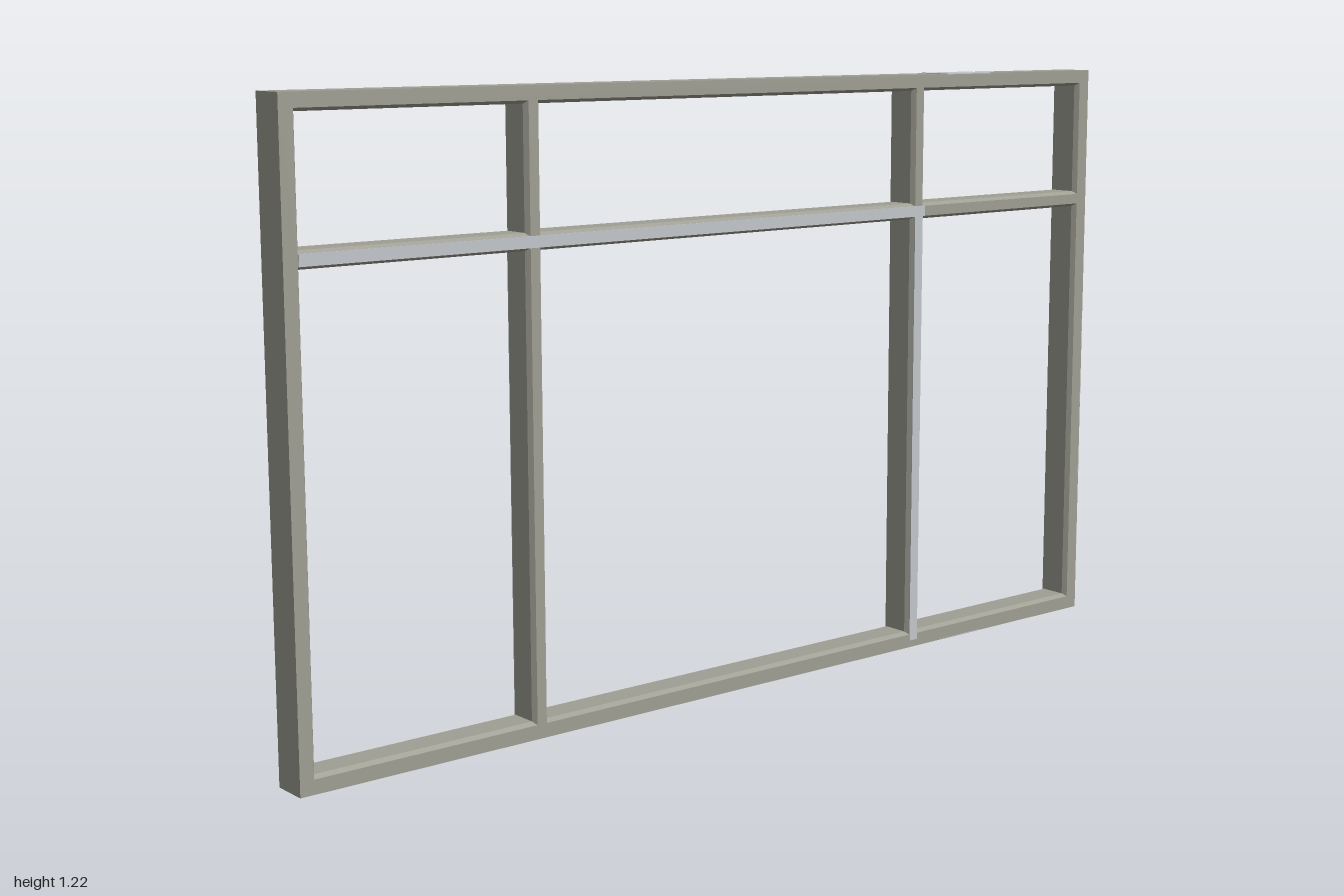
import * as THREE from 'three';

const HEIGHT = 1.217, HALF_DEPTH = 0.037, BEVEL = 0.006;

// Clear openings between the bars: columns and rows
const COLUMNS = [[-0.966, -0.504], [-0.471, 0.466], [0.499, 0.966]];
const ROWS = [[0.034, 0.919], [0.952, 1.184]];

function rectCorners([x0, x1], [y0, y1], grow) {
  return [
    [x0 - grow, y0 - grow], [x1 + grow, y0 - grow],
    [x1 + grow, y1 + grow], [x0 - grow, y1 + grow],
  ];
}

// Chamfered lining of one opening, lofted from front to back
function liningGeometry(column, row) {
  const profile = [
    [BEVEL, HALF_DEPTH], [0, HALF_DEPTH - 0.01],
    [0, -HALF_DEPTH + 0.01], [BEVEL, -HALF_DEPTH],
  ];
  const rings = profile.map(([grow, z]) =>
    rectCorners(column, row, grow).map(([x, y]) => [x, y, z]));
  const positions = [];
  for (let i = 0; i < rings.length - 1; i++) {
    for (let j = 0; j < 4; j++) {
      const k = (j + 1) % 4;
      const a = rings[i][j], b = rings[i][k], c = rings[i + 1][k], d = rings[i + 1][j];
      positions.push(...a, ...b, ...c, ...a, ...c, ...d);
    }
  }
  const geometry = new THREE.BufferGeometry();
  geometry.setAttribute('position', new THREE.Float32BufferAttribute(positions, 3));
  geometry.computeVertexNormals();
  return geometry;
}

export function createModel() {
  const model = new THREE.Group();
  model.name = 'windowFrame';
  const frameGrey = new THREE.MeshStandardMaterial({ name: 'frameGrey', color: 0xa09f94 });
  const paleGrey = new THREE.MeshStandardMaterial({ name: 'paleGrey', color: 0xc2c7cb });

  const add = (name, geometry, material, x = 0, y = 0, z = 0) => {
    const mesh = new THREE.Mesh(geometry, material);
    mesh.name = name;
    mesh.position.set(x, y, z);
    model.add(mesh);
  };

  // Outer frame, mullions and transom in one slab with six openings
  const toPoints = (corners) => corners.map(([x, y]) => new THREE.Vector2(x, y));
  const slab = new THREE.Shape(toPoints(rectCorners([-1, 1], [0, HEIGHT], 0)));
  for (const column of COLUMNS) {
    for (const row of ROWS) {
      slab.holes.push(new THREE.Path(toPoints(rectCorners(column, row, BEVEL))));
      add('openingLining', liningGeometry(column, row), frameGrey);
    }
  }
  const slabGeometry = new THREE.ExtrudeGeometry(slab, { depth: HALF_DEPTH * 2, bevelEnabled: false });
  add('frameBars', slabGeometry.translate(0, 0, -HALF_DEPTH), frameGrey);

  // Thin pale strips on the faces of the bars
  const strip = (name, w, h, d, x, y, z) =>
    add(name, new THREE.BoxGeometry(w, h, d), paleGrey, x, y, z);
  const T = 0.002;
  strip('transomStrip', 1.47, 0.022, T, -0.235, 0.9355, HALF_DEPTH);
  strip('frontMullionStrip', 0.022, 0.91, T, 0.4825, 0.47, HALF_DEPTH);
  strip('backSillStrip', 1.47, 0.018, T, -0.255, 0.017, -HALF_DEPTH);
  strip('backMullionStrip', 0.022, 0.9, T, -0.4875, 0.475, -HALF_DEPTH);

  // Pale patches on the head, base and left end
  strip('headPatch', 0.13, T, HALF_DEPTH * 2, 0.625, HEIGHT, 0);
  strip('basePatch', 0.13, T, HALF_DEPTH * 2, 0.625, 0.001, 0);
  for (const [y, h] of [[0.165, 0.035], [0.322, 0.022], [0.492, 0.035], [0.655, 0.028]]) {
    strip('endPatch', T, h, HALF_DEPTH * 2, 0.9995, y, 0);
  }
  return model;
}
